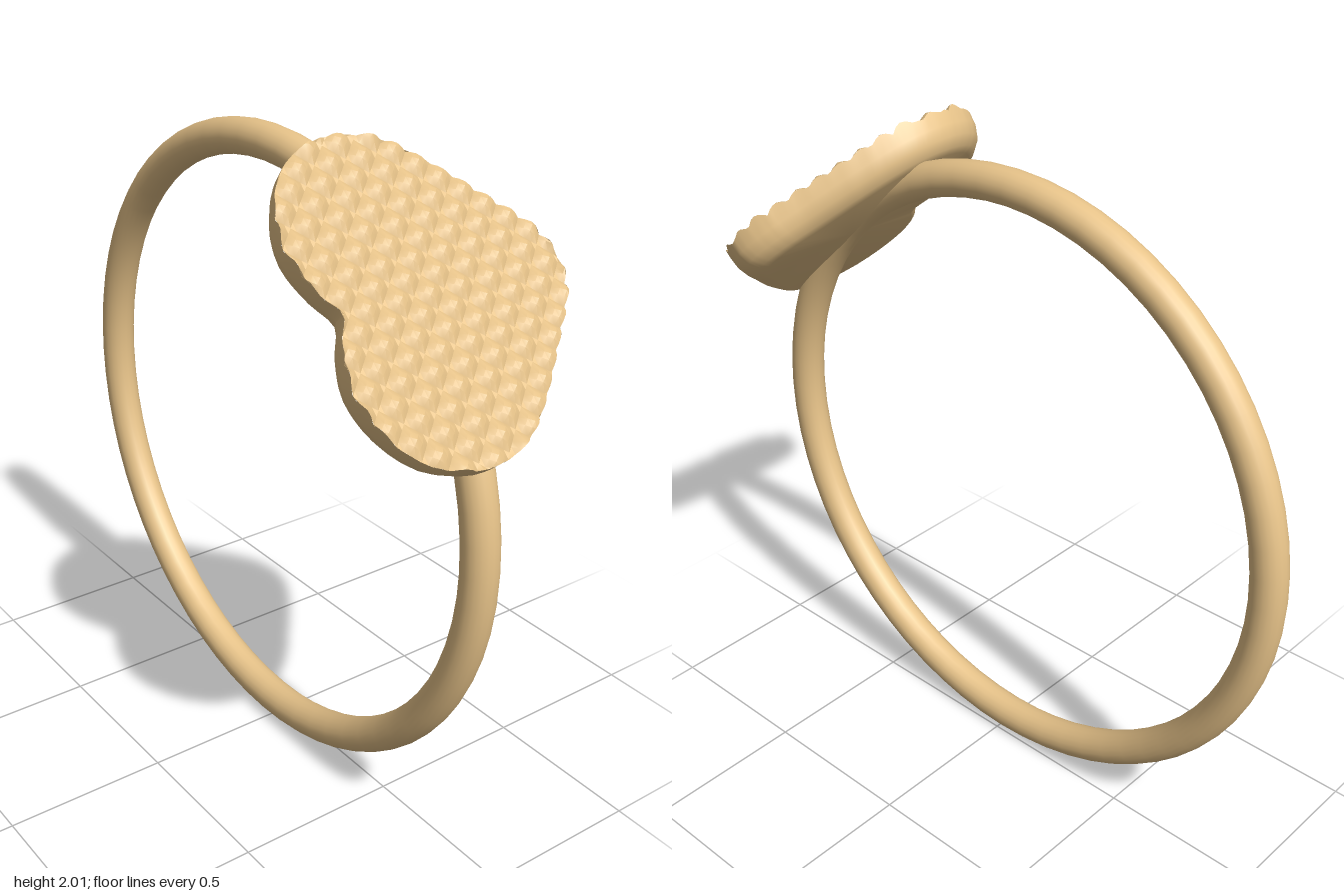
import * as THREE from 'three';
import { mergeVertices, toCreasedNormals } from 'three/addons/utils/BufferGeometryUtils.js';

const CELL = 0.07;      // waffle cell size
const BUMP = 0.022;     // waffle cell height
const DIAG = Math.SQRT1_2;

// Heart outline, upper half from the tip to the notch; the tip points to +x
const half = [[0.39, 0], [0.355, 0.1], [0.275, 0.195], [0.1, 0.375], [-0.02, 0.45], [-0.15, 0.465],
  [-0.28, 0.415], [-0.365, 0.31], [-0.395, 0.19], [-0.365, 0.08], [-0.325, 0]];
const outline = new THREE.CatmullRomCurve3(
  [...half, ...half.slice(1, -1).reverse().map(([x, y]) => [x, -y])].map(([x, y]) => new THREE.Vector3(x, y, 0)),
  true
).getPoints(60).slice(0, 60);

// Distance from the heart's middle to its outline along an angle
function radiusAt(angle) {
  const dx = Math.cos(angle), dy = Math.sin(angle);
  let best = 0;
  outline.forEach((a, i) => {
    const b = outline[(i + 1) % outline.length];
    const ex = b.x - a.x, ey = b.y - a.y;
    const det = dx * ey - dy * ex;
    if (Math.abs(det) < 1e-9) return;
    const t = (a.x * ey - a.y * ex) / det;
    const s = (a.x * dy - a.y * dx) / det;
    if (t > 0 && s >= -1e-6 && s <= 1 + 1e-6) best = Math.max(best, t);
  });
  return best;
}

// Pillow-shaped cells separated by grooves at 45 degrees
function waffle(x, y) {
  const p = (x + y) * DIAG, q = (y - x) * DIAG;
  return BUMP * Math.abs(Math.sin(Math.PI * p / CELL) * Math.sin(Math.PI * q / CELL));
}

function buildGeometry(positions, index, crease) {
  const g = new THREE.BufferGeometry();
  g.setAttribute('position', new THREE.Float32BufferAttribute(positions, 3));
  g.setIndex(index);
  return toCreasedNormals(mergeVertices(g, 1e-5), crease);
}

// Waffle face: a diagonal grid whose outer vertices are pulled in to the outline
function faceGeometry() {
  const sub = 4, cells = 16, n = cells * sub, step = CELL / sub;
  const positions = [], index = [], outside = [];
  for (let j = 0; j <= n; j++) {
    for (let i = 0; i <= n; i++) {
      const p = (i - n / 2) * step, q = (j - n / 2) * step;
      let x = (p - q) * DIAG, y = (p + q) * DIAG;
      const d = Math.hypot(x, y), r = radiusAt(Math.atan2(y, x));
      outside.push(d > r);
      if (d > r) { x *= r / d; y *= r / d; }
      positions.push(x, y, waffle(x, y));
    }
  }
  for (let j = 0; j < n; j++) {
    for (let i = 0; i < n; i++) {
      const a = j * (n + 1) + i, b = a + 1, c = b + n + 1, d = c - 1;
      if ([a, b, c, d].every(k => outside[k])) continue;
      index.push(a, b, c, a, c, d);
    }
  }
  return buildGeometry(positions, index, 0.5);
}

// Rounded side wall and flat back, as loops of the outline
function backGeometry() {
  const n = 180, positions = [], index = [];
  // [inset, depth]; the first loop closes at the middle
  const loops = [[1, -0.1], [0.07, -0.1], [0.045, -0.092], [0.018, -0.068], [0.004, -0.035], [0, 0]];
  loops.forEach(([inset, z], k) => {
    for (let i = 0; i < n; i++) {
      const t = i / n * Math.PI * 2, r = Math.max(0, radiusAt(t) - inset);
      const x = r * Math.cos(t), y = r * Math.sin(t);
      positions.push(x, y, k === loops.length - 1 ? waffle(x, y) : z);
      if (k === 0) continue;
      const a = (k - 1) * n + i, b = (k - 1) * n + (i + 1) % n;
      index.push(a, b, b + n, a, b + n, a + n);
    }
  });
  return buildGeometry(positions, index, 0.6);
}

export function createModel() {
  const model = new THREE.Group();
  model.name = 'heartRing';
  const material = new THREE.MeshStandardMaterial({ color: 0xe8c48a });
  const add = (parent, name, geometry) => {
    const mesh = new THREE.Mesh(geometry, material);
    mesh.name = name;
    parent.add(mesh);
    return mesh;
  };

  // Band
  const band = add(model, 'band', new THREE.TorusGeometry(0.92, 0.053, 20, 64));
  band.rotation.y = Math.PI / 2;
  band.position.set(-0.04, 0.978, -0.022);

  // Heart plate, tilted halfway between up and front
  const heart = new THREE.Group();
  heart.name = 'heart';
  heart.rotation.x = -Math.PI / 4;
  heart.position.set(0, 1.672, 0.668);
  add(heart, 'waffleFace', faceGeometry());
  add(heart, 'heartBack', backGeometry());
  model.add(heart);
  return model;
}
